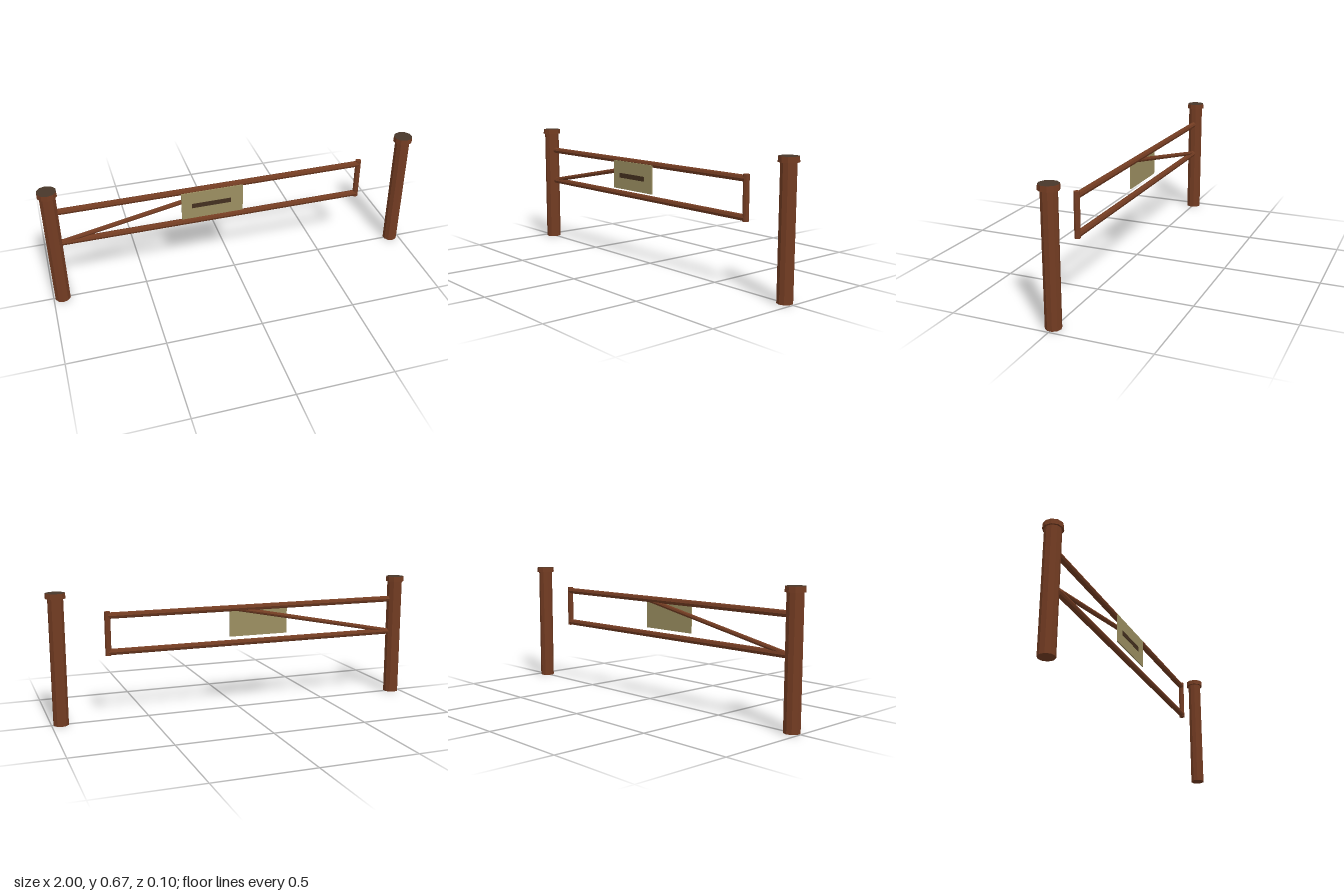
import * as THREE from 'three';

export function createModel() {
  const material = (name, color) => {
    const m = new THREE.MeshStandardMaterial({ color, flatShading: true });
    m.name = name;
    return m;
  };
  const wood = material('reddish brown wood', 0x733c22);
  const endGrain = material('dark weathered top', 0x48372a);
  const board = material('khaki board', 0x9c8f61);
  const dark = material('dark brown stripe', 0x44301f);

  const gate = new THREE.Group();
  gate.name = 'fieldGate';

  const add = (parent, name, geometry, mat, x = 0, y = 0, z = 0) => {
    const mesh = new THREE.Mesh(geometry, mat);
    mesh.name = name;
    mesh.position.set(x, y, z);
    parent.add(mesh);
    return mesh;
  };

  // Round pole running between two points in the plane of the gate
  const pole = (name, x1, y1, x2, y2, radius, z = 0) => {
    const dx = x2 - x1, dy = y2 - y1;
    const geometry = new THREE.CylinderGeometry(radius, radius, Math.hypot(dx, dy), 8);
    const mesh = add(gate, name, geometry, wood, (x1 + x2) / 2, (y1 + y2) / 2, z);
    mesh.rotation.z = Math.atan2(dy, dx) - Math.PI / 2;
  };

  // Ten-sided posts with overhanging caps
  for (const side of [-1, 1]) {
    const post = new THREE.Group();
    post.name = side > 0 ? 'leftPost' : 'rightPost';
    post.position.x = side * 0.952;
    const r = side > 0 ? 0.039 : 0.0415;
    add(post, 'postShaft', new THREE.CylinderGeometry(r, r, 0.65, 10), wood, 0, 0.325);
    add(post, 'postCap', new THREE.CylinderGeometry(0.049, 0.0505, 0.027, 10),
      [wood, endGrain, wood], 0, 0.6565);
    gate.add(post);
  }

  // Gate frame and diagonal brace
  pole('topRail', -0.94, 0.542, 0.7, 0.542, 0.0165);
  pole('bottomRail', -0.94, 0.355, 0.7, 0.355, 0.0165);
  pole('endUpright', 0.7, 0.338, 0.7, 0.563, 0.0155);
  pole('diagonalBrace', -0.93, 0.355, 0.01, 0.538, 0.012);

  // Sign board with a dark stripe on its front
  add(gate, 'signBoard', new THREE.BoxGeometry(0.33, 0.155, 0.006), board, -0.125, 0.4625, 0.019);
  add(gate, 'signStripe', new THREE.BoxGeometry(0.21, 0.026, 0.002), dark, -0.13, 0.46, 0.0228);

  return gate;
}
